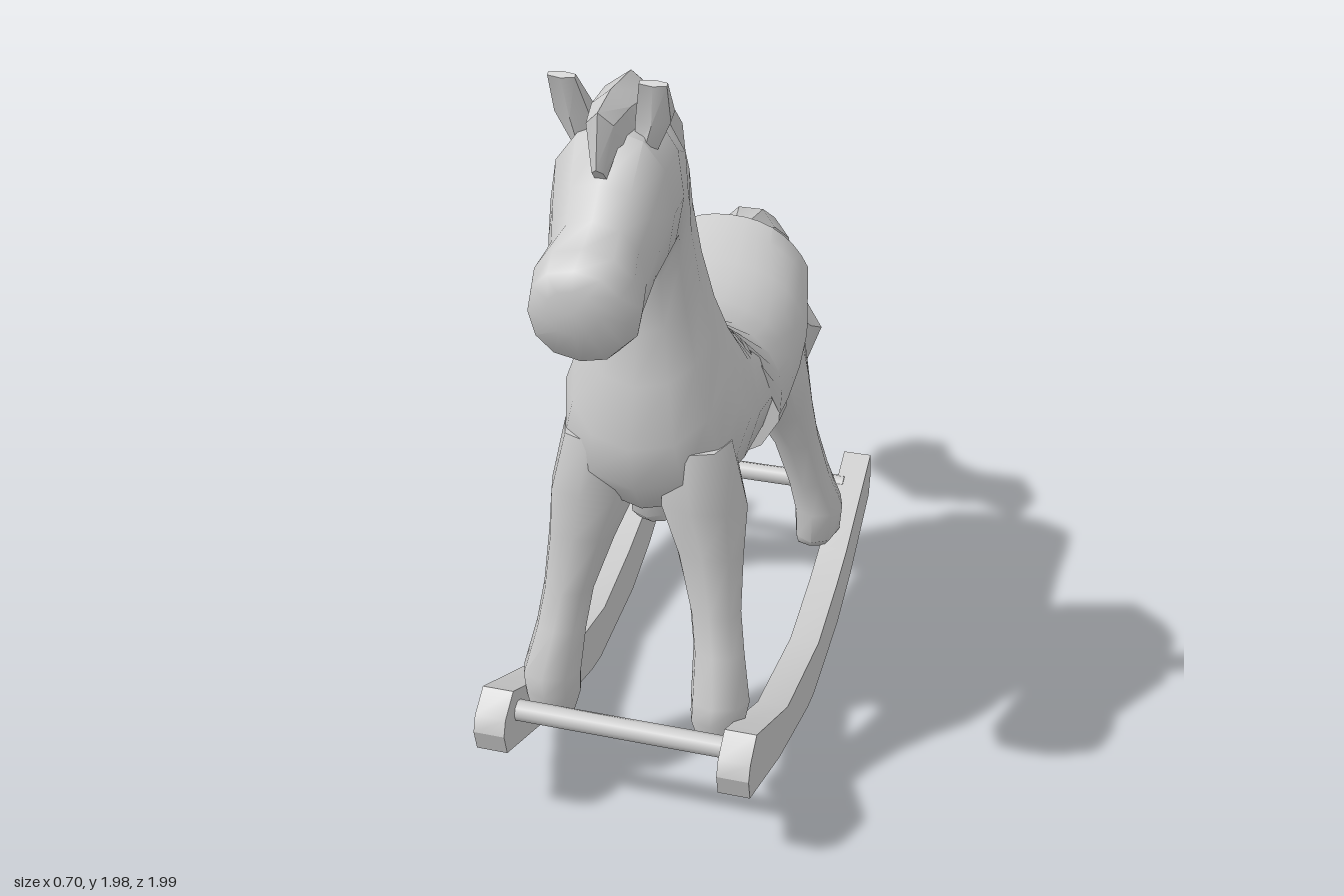
import * as THREE from 'three';
import { toCreasedNormals } from 'three/addons/utils/BufferGeometryUtils.js';

const material = new THREE.MeshStandardMaterial({ color: 0xcccccc });
const thinMaterial = new THREE.MeshStandardMaterial({ color: 0xcccccc, side: THREE.DoubleSide });
const spow = (v, p) => Math.sign(v) * Math.abs(v) ** p;

function part(name, geometry, mat = material) {
  const mesh = new THREE.Mesh(geometry, mat);
  mesh.name = name;
  return mesh;
}

function build(points, index, crease) {
  const g = new THREE.BufferGeometry();
  g.setAttribute('position', new THREE.Float32BufferAttribute(points, 3));
  g.setIndex(index);
  return toCreasedNormals(g, crease);
}

// Closed skin through oval sections: [z1, y1, z2, y2, halfWidth, centreX]
function loft(sections, sides = 10, power = 0.9, crease = 1) {
  const points = [], index = [], last = sections.length - 1;
  for (const [z1, y1, z2, y2, hw, cx = 0] of sections) {
    for (let j = 0; j < sides; j++) {
      const a = (j / sides) * Math.PI * 2 + Math.PI / 2;
      const c = spow(Math.cos(a), power), s = spow(Math.sin(a), power);
      points.push(cx + hw * c, (y1 + y2) / 2 + (s * (y1 - y2)) / 2, (z1 + z2) / 2 + (s * (z1 - z2)) / 2);
    }
  }
  for (let i = 0; i < last; i++) {
    for (let j = 0; j < sides; j++) {
      const k = (j + 1) % sides, a = i * sides, b = a + sides;
      index.push(a + j, a + k, b + k, a + j, b + k, b + j);
    }
  }
  // End caps
  for (const i of [0, last]) {
    const [z1, y1, z2, y2, , cx = 0] = sections[i];
    const centre = points.length / 3;
    points.push(cx, (y1 + y2) / 2, (z1 + z2) / 2);
    for (let j = 0; j < sides; j++) {
      const p = i * sides + j, q = i * sides + ((j + 1) % sides);
      index.push(centre, ...(i ? [p, q] : [q, p]));
    }
  }
  return build(points, index, crease);
}

// Sheet draped over the back, stations: [z, topY, hemY, halfWidth]
function drape(stations, steps = 14, cy = 0.97, power = 0.9) {
  const points = [], index = [];
  stations.forEach(([z, top, hem, hw], i) => {
    const h = top - cy;
    const end = Math.acos(spow((hem - cy) / h, 1 / power));
    for (let j = 0; j <= steps; j++) {
      const a = ((j / steps) * 2 - 1) * end;
      points.push(hw * spow(Math.sin(a), power), cy + h * spow(Math.cos(a), power), z);
      if (i && j) {
        const d = i * (steps + 1) + j, c = d - 1, b = d - steps - 1, e = b - 1;
        index.push(e, b, d, e, d, c);
      }
    }
  });
  return build(points, index, 1);
}

export function createModel() {
  const horse = new THREE.Group();
  horse.name = 'rockingHorse';

  // Rump, barrel, chest, neck and head in one skin
  horse.add(part('body', loft([
    [-0.34, 1.1, -0.36, 0.96, 0.08],
    [-0.29, 1.15, -0.31, 0.8, 0.2],
    [-0.18, 1.17, -0.15, 0.77, 0.235],
    [0, 1.15, 0, 0.78, 0.235],
    [0.15, 1.15, 0.2, 0.79, 0.24],
    [0.27, 1.21, 0.42, 0.79, 0.24],
    [0.28, 1.24, 0.56, 0.81, 0.235],
    [0.29, 1.27, 0.625, 0.9, 0.22],
    [0.3, 1.3, 0.645, 1.02, 0.19],
    [0.31, 1.36, 0.61, 1.17, 0.15],
    [0.34, 1.48, 0.585, 1.3, 0.12],
    [0.38, 1.62, 0.58, 1.42, 0.105],
    [0.43, 1.73, 0.585, 1.47, 0.11],
    [0.5, 1.81, 0.61, 1.485, 0.12],
    [0.62, 1.87, 0.66, 1.488, 0.135],
    [0.74, 1.86, 0.72, 1.49, 0.14],
    [0.81, 1.76, 0.77, 1.475, 0.125],
    [0.86, 1.7, 0.82, 1.42, 0.11],
    [0.93, 1.665, 0.9, 1.41, 0.125],
    [0.985, 1.64, 0.96, 1.42, 0.11],
    [1, 1.6, 1, 1.5, 0.06],
  ], 12)));

  // Mane running from the withers to the forelock
  horse.add(part('mane', loft([
    [0.25, 1.2, 0.3, 1.2, 0.02],
    [0.265, 1.28, 0.36, 1.25, 0.04],
    [0.27, 1.4, 0.4, 1.37, 0.06],
    [0.33, 1.6, 0.46, 1.55, 0.075],
    [0.395, 1.79, 0.52, 1.68, 0.08],
    [0.47, 1.86, 0.56, 1.74, 0.075],
    [0.58, 1.935, 0.62, 1.78, 0.065],
    [0.72, 1.94, 0.72, 1.8, 0.05],
    [0.81, 1.92, 0.76, 1.8, 0.035],
    [0.83, 1.8, 0.79, 1.76, 0.015],
  ], 6, 1, 0.7)));

  // Tail sweeping back and down in a ragged brush
  horse.add(part('tail', loft([
    [-0.33, 1.14, -0.32, 1.17, 0.02],
    [-0.4, 1.06, -0.49, 1.17, 0.08],
    [-0.46, 0.99, -0.6, 1.1, 0.1],
    [-0.53, 0.83, -0.68, 0.95, 0.09],
    [-0.6, 0.67, -0.76, 0.79, 0.085],
    [-0.74, 0.55, -0.88, 0.7, 0.11],
    [-0.8, 0.49, -0.99, 0.66, 0.125],
    [-0.87, 0.43, -1, 0.58, 0.07],
    [-0.93, 0.47, -0.97, 0.5, 0.02],
  ], 7, 1, 0.6)));
  // Loose lock lying on the tail
  horse.add(part('tailLock', loft([
    [-0.55, 0.98, -0.62, 1.03, 0.03],
    [-0.6, 0.82, -0.73, 0.87, 0.07],
    [-0.72, 0.68, -0.8, 0.78, 0.08],
    [-0.86, 0.64, -0.89, 0.72, 0.05],
  ], 5, 1, 0.6)));

  // Saddle cloth and girth strap
  horse.add(part('saddle', drape([
    [0.29, 1.225, 1.15, 0.25],
    [0.21, 1.185, 0.92, 0.262],
    [0.1, 1.17, 0.91, 0.262],
    [0, 1.17, 0.95, 0.26],
    [-0.09, 1.185, 1.0, 0.258],
    [-0.2, 1.22, 1.09, 0.255],
    [-0.26, 1.24, 1.11, 0.245],
    [-0.32, 1.17, 1.12, 0.22],
  ]), thinMaterial));
  horse.add(part('girth', loft([
    [0.115, 1.14, 0.115, 0.745, 0.258],
    [0.195, 1.14, 0.195, 0.745, 0.258],
  ], 14)));

  // Rocker outline as (z, y)
  const outline = [
    [0.78, 0.365], [0.84, 0.32], [0.855, 0.28], [0.84, 0.22], [0.53, 0.1], [0.2, 0.01], [0.12, 0],
    [-0.18, 0.03], [-0.35, 0.085], [-0.6, 0.21], [-0.615, 0.27], [-0.6, 0.35],
    [-0.28, 0.215], [-0.15, 0.18], [0.08, 0.14], [0.45, 0.2],
  ];
  const shape = new THREE.Shape(outline.map(([z, y]) => new THREE.Vector2(-z, y)));

  for (const side of [1, -1]) {
    const label = side > 0 ? 'left' : 'right';

    horse.add(part(label + 'Ear', loft([
      [0.63, 1.83, 0.73, 1.8, 0.03, 0.07 * side],
      [0.67, 1.9, 0.73, 1.87, 0.045, 0.09 * side],
      [0.735, 1.975, 0.75, 1.965, 0.035, 0.1 * side],
    ], 6, 1, 0.6)));

    horse.add(part(label + 'FrontLeg', loft([
      [0.6, 1.0, 0.4, 1.0, 0.09, 0.12 * side],
      [0.62, 0.85, 0.38, 0.8, 0.11, 0.14 * side],
      [0.61, 0.72, 0.46, 0.68, 0.085, 0.165 * side],
      [0.635, 0.57, 0.51, 0.56, 0.065, 0.19 * side],
      [0.66, 0.47, 0.53, 0.45, 0.065, 0.205 * side],
      [0.715, 0.36, 0.555, 0.33, 0.075, 0.22 * side],
      [0.72, 0.31, 0.56, 0.27, 0.07, 0.215 * side],
      [0.7, 0.23, 0.58, 0.21, 0.055, 0.22 * side],
    ], 8)));

    horse.add(part(label + 'BackLeg', loft([
      [-0.06, 0.95, -0.33, 1.0, 0.09, 0.12 * side],
      [-0.07, 0.8, -0.325, 0.84, 0.1, 0.14 * side],
      [-0.13, 0.69, -0.31, 0.73, 0.085, 0.165 * side],
      [-0.19, 0.58, -0.33, 0.6, 0.065, 0.195 * side],
      [-0.235, 0.43, -0.375, 0.46, 0.06, 0.225 * side],
      [-0.25, 0.33, -0.43, 0.32, 0.07, 0.25 * side],
      [-0.25, 0.24, -0.42, 0.26, 0.065, 0.25 * side],
      [-0.28, 0.21, -0.37, 0.21, 0.05, 0.24 * side],
    ], 8)));

    // Curved rocker, turned so its thickness runs along x
    const rocker = new THREE.ExtrudeGeometry(shape, { depth: 0.08, bevelEnabled: false });
    rocker.rotateY(Math.PI / 2).translate(side > 0 ? 0.27 : -0.35, 0, 0);
    horse.add(part(label + 'Rocker', toCreasedNormals(rocker, 0.6)));
  }

  // Bars joining the rockers
  for (const [name, z] of [['frontBar', 0.755], ['backBar', -0.51]]) {
    const bar = part(name, new THREE.CylinderGeometry(0.027, 0.027, 0.58, 8));
    bar.rotation.z = Math.PI / 2;
    bar.position.set(0, 0.29, z);
    horse.add(bar);
  }
  return horse;
}
